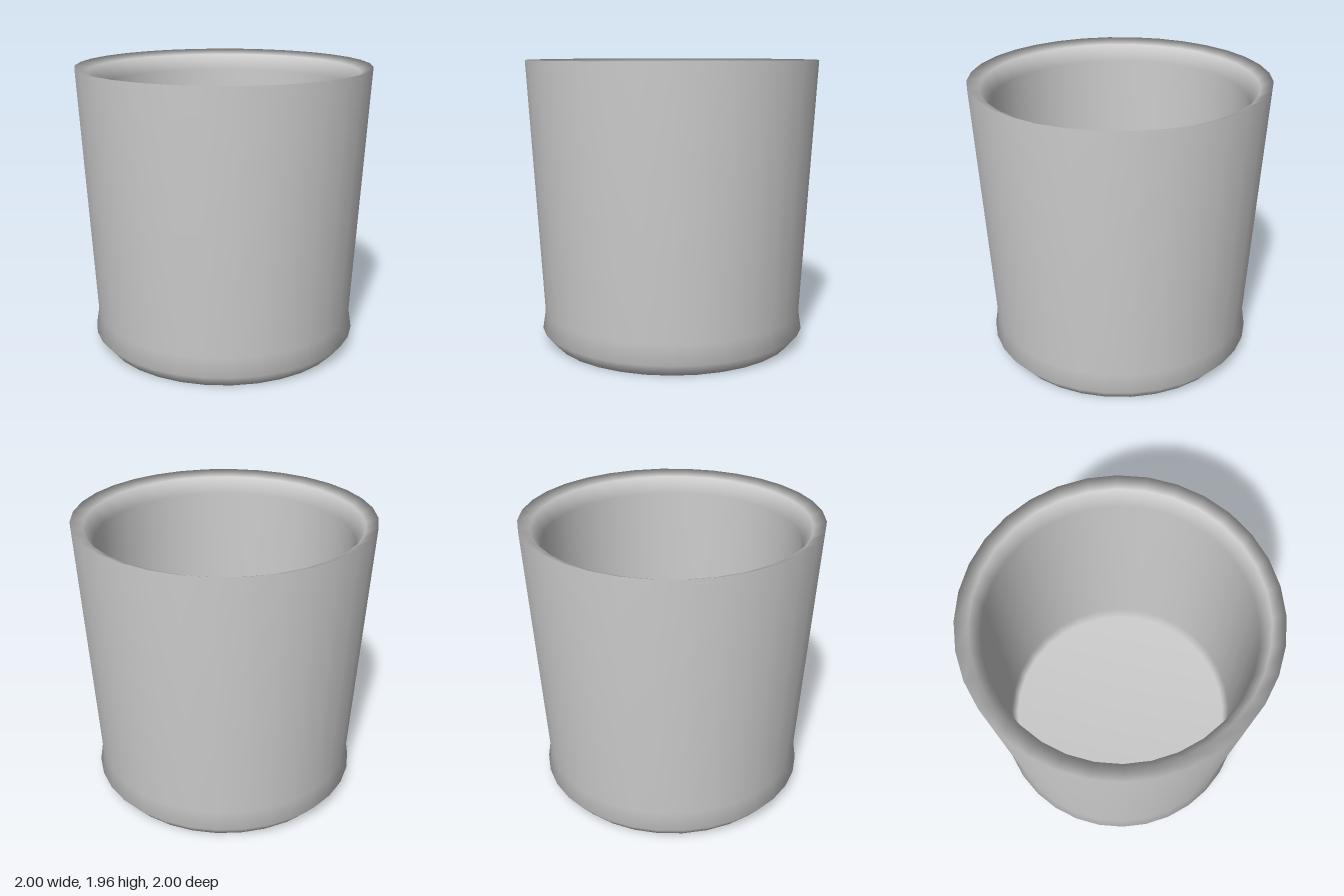
import * as THREE from 'three';

const SIDES = 32;

// Spins a profile of [radius, height] points into a smooth surface
function lathe(name, profile) {
  const points = profile.map(([r, y]) => new THREE.Vector2(r, y));
  const mesh = new THREE.Mesh(
    new THREE.LatheGeometry(points, SIDES),
    new THREE.MeshStandardMaterial({ color: 0xcccccc })
  );
  mesh.name = name;
  return mesh;
}

export function createModel() {
  const cup = new THREE.Group();
  cup.name = 'cup';

  // One closed shell: underside, bevelled foot, flared wall, sloping lip, inner wall, floor
  cup.add(lathe('cupBody', [
    [0, 0], [0.85, 0],
    [0.925, 0.09], [0.905, 0.22],
    [1, 1.955],
    [0.92, 1.92], [0.86, 1.81],
    [0.86, 0.2], [0.82, 0.12], [0, 0.12],
  ]));

  return cup;
}
